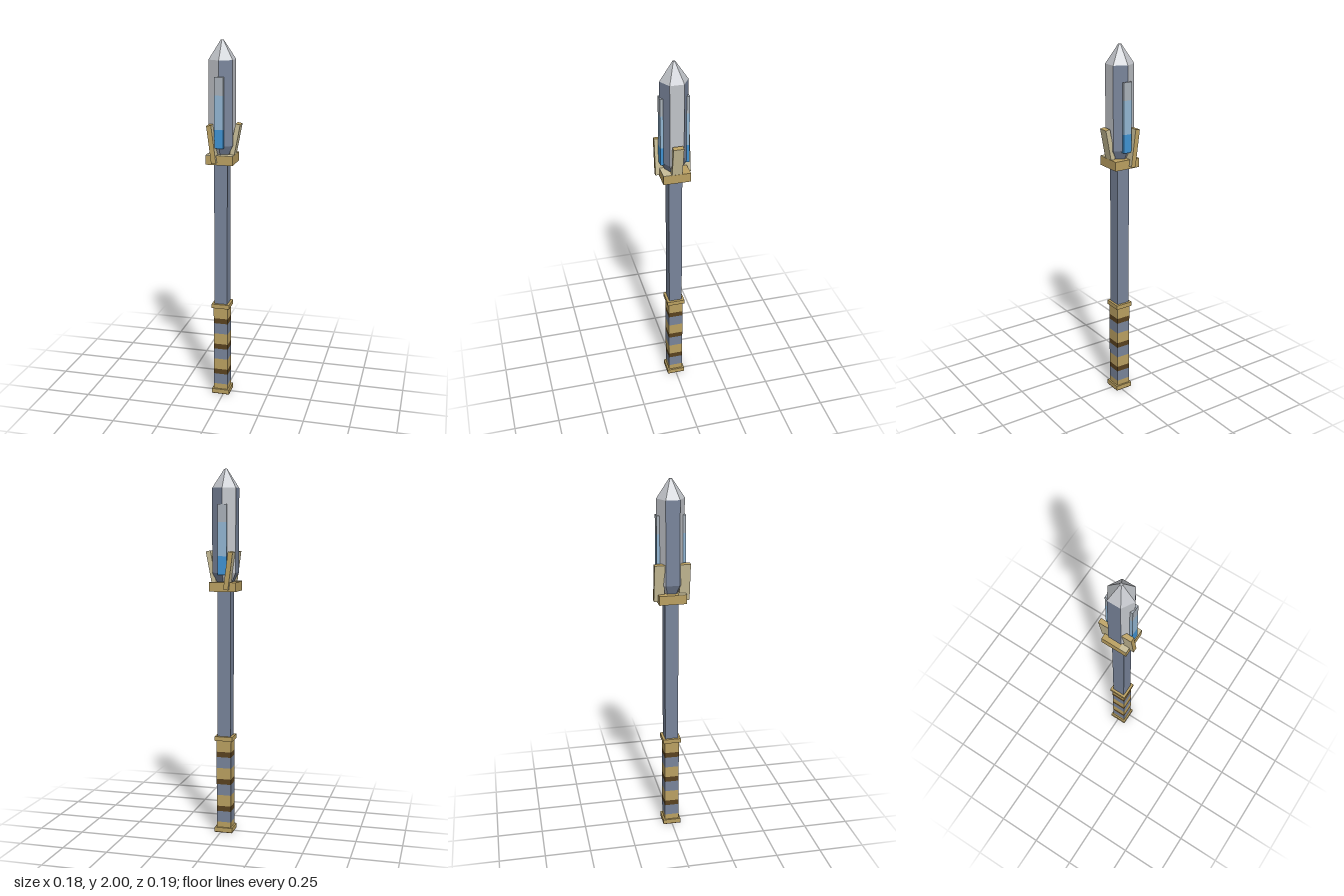
import * as THREE from 'three';

const mat = (name, color) => {
  const m = new THREE.MeshStandardMaterial({ color });
  m.name = name;
  return m;
};

export function createModel() {
  const group = new THREE.Group();
  const steel = mat('blue steel', 0x78849a);
  const silver = mat('pale silver', 0xc0c3c8);
  const gold = mat('gold', 0xbaa061);
  const tan = mat('pale gold', 0xc8bd97);
  const brown = mat('dark leather', 0x59421f);
  const glassTop = mat('grey glass', 0xa9b1b9);
  const glassMid = mat('light blue glass', 0x92b6d3);
  const glassLow = mat('bright blue glass', 0x3f92d2);

  const CX = -0.016; // axis of the shaft

  const add = (name, geo, material, x, y, z = 0) => {
    const mesh = new THREE.Mesh(geo, material);
    mesh.name = name;
    mesh.position.set(x, y, z);
    group.add(mesh);
    return mesh;
  };
  // square block around the shaft axis, from y0 to y1
  const block = (name, width, y0, y1, material) =>
    add(name, new THREE.BoxGeometry(width, y1 - y0, width), material, CX, (y0 + y1) / 2);

  // grip: stacked bands between two caps
  block('pommelBase', 0.1, 0, 0.004, brown);
  block('pommel', 0.1, 0.004, 0.027, gold);
  block('gripEnd', 0.081, 0.027, 0.058, gold);
  for (let i = 0; i < 3; i++) {
    const y = 0.058 + i * 0.155;
    block('gripSteelBand', 0.081, y, y + 0.062, steel);
    block('gripLeatherBand', 0.081, y + 0.062, y + 0.092, brown);
    block('gripGoldBand', 0.081, y + 0.092, y + 0.155, gold);
  }
  block('gripCap', 0.1, 0.524, 0.548, gold);

  // shaft and collar
  block('shaft', 0.073, 0.548, 1.35, steel);
  block('collar', 0.148, 1.35, 1.4, gold);
  add('collarTrim', new THREE.BoxGeometry(0.148, 0.004, 0.042), tan, CX, 1.4, 0.053);

  // six-sided blade in three tiers, its faces alternating in colour
  const tier = (name, rTop, rBottom, y0, y1, even, odd) => {
    const geo = new THREE.CylinderGeometry(rTop, rBottom, y1 - y0, 6, 1, true).toNonIndexed();
    geo.computeVertexNormals();
    geo.clearGroups();
    for (let i = 0; i < 6; i++) geo.addGroup(i * 6, 6, i % 2);
    add(name, geo, [even, odd], CX, (y0 + y1) / 2);
  };
  tier('bladeFoot', 0.075, 0.045, 1.395, 1.45, steel, silver);
  tier('bladeBody', 0.075, 0.075, 1.45, 1.9, steel, silver);
  tier('bladeTip', 0.008, 0.075, 1.9, 2, silver, silver);
  const cap = new THREE.CircleGeometry(0.008, 6, Math.PI / 6).rotateX(-Math.PI / 2);
  add('bladePoint', cap, silver, CX, 2);

  // glass inlay passing through the blade, front to back
  for (const [y0, y1, m] of [[1.44, 1.54, glassLow], [1.54, 1.72, glassMid], [1.72, 1.815, glassTop]]) {
    add('glassInlay', new THREE.BoxGeometry(0.048, y1 - y0, 0.155), m, CX, (y0 + y1) / 2);
  }

  // leaning prongs: one on the left, a pair on the right
  const left = add('leftProng', new THREE.BoxGeometry(0.026, 0.205, 0.056),
    [tan, tan, gold, gold, tan, tan], 0.056, 1.465);
  left.rotation.z = -0.19;
  for (const s of [-1, 1]) {
    const prong = add('rightProng', new THREE.BoxGeometry(0.026, 0.203, 0.056),
      [tan, tan, gold, gold, gold, gold], -0.053, 1.463, s * 0.068);
    prong.rotation.z = 0.13;
  }

  return group;
}
